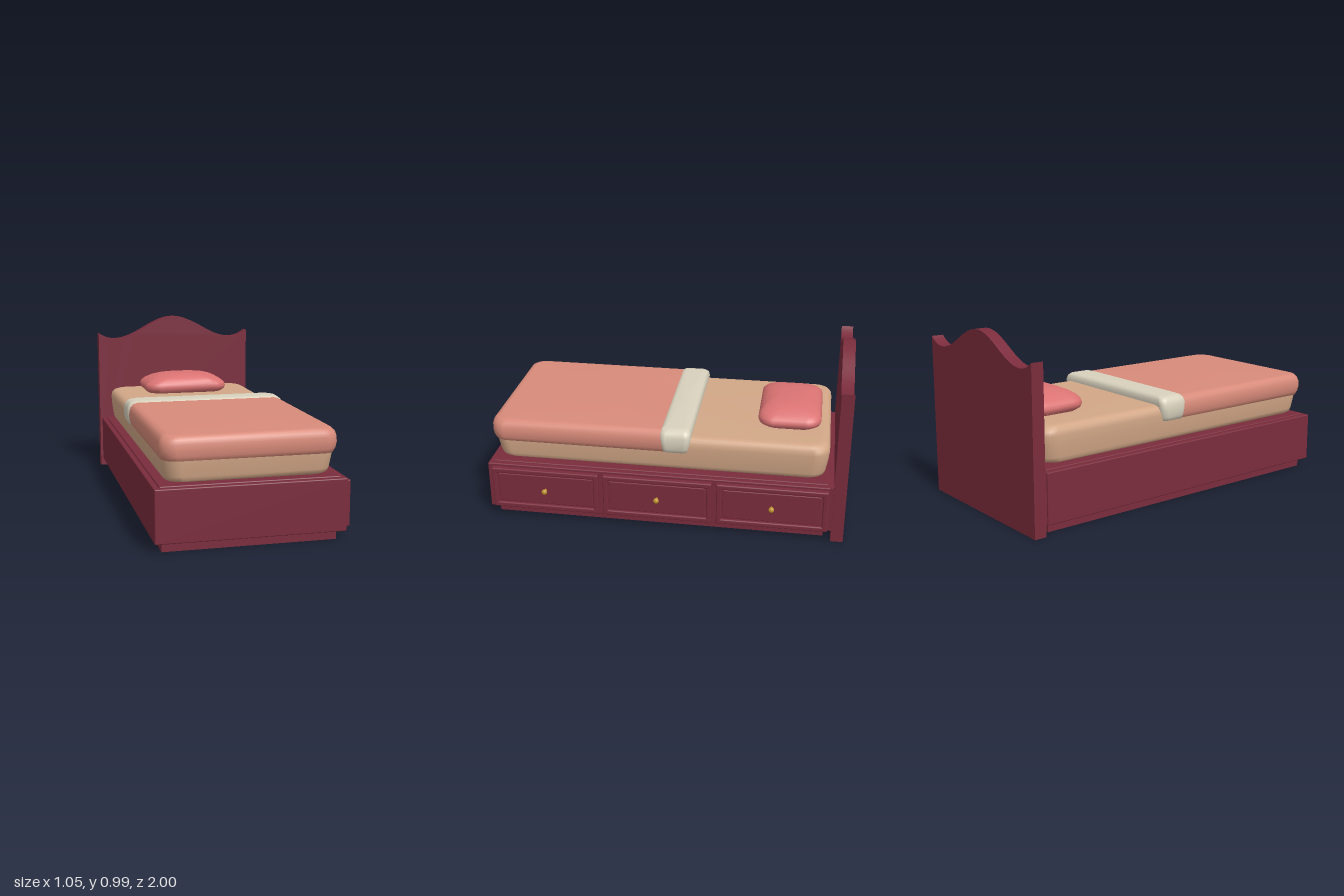
import * as THREE from 'three';
import { RoundedBoxGeometry } from 'three/addons/geometries/RoundedBoxGeometry.js';

const mat = (name, color) => {
  const m = new THREE.MeshStandardMaterial({ color });
  m.name = name;
  return m;
};

// Soft rounded slab: rounded-rectangle rings stacked by a profile of [insetX, insetZ, y]
function cushion([x0, x1], [z0, z1], radius, profile) {
  const cx = (x0 + x1) / 2, cz = (z0 + z1) / 2, seg = 7, n = 4 * (seg + 1);
  const pos = [], idx = [];
  for (const [ix, iz, y] of profile) {
    const hx = (x1 - x0) / 2 - ix, hz = (z1 - z0) / 2 - iz;
    const r = Math.min(radius, hx, hz);
    for (let q = 0; q < 4; q++) {
      const sx = q === 0 || q === 3 ? 1 : -1, sz = q < 2 ? 1 : -1;
      for (let k = 0; k <= seg; k++) {
        const a = (q + k / seg) * Math.PI / 2;
        pos.push(cx + sx * (hx - r) + r * Math.cos(a), y, cz + sz * (hz - r) + r * Math.sin(a));
      }
    }
  }
  const rows = profile.length, bottom = rows * n, top = bottom + 1;
  pos.push(cx, profile[0][2], cz, cx, profile[rows - 1][2], cz);
  for (let j = 0; j < n; j++) {
    const k = (j + 1) % n;
    for (let i = 0; i < rows - 1; i++) {
      const a = i * n + j, b = i * n + k, c = a + n, d = b + n;
      idx.push(a, c, b, b, c, d);
    }
    idx.push(bottom, j, k, top, (rows - 1) * n + k, (rows - 1) * n + j);
  }
  const g = new THREE.BufferGeometry();
  g.setAttribute('position', new THREE.Float32BufferAttribute(pos, 3));
  g.setIndex(idx);
  g.computeVertexNormals();
  return g;
}

export function createModel() {
  const bed = new THREE.Group();
  bed.name = 'bed';
  const wood = mat('burgundy wood', 0x7a2c3c);
  const sheet = mat('tan mattress', 0xd2a787);
  const cover = mat('salmon blanket', 0xd88b7a);
  const linen = mat('cream linen', 0xd8d1bd);
  const rose = mat('rose pillow', 0xdb7373);
  const brass = mat('brass', 0xbd8f2c);

  const add = (name, geometry, material, parent = bed) => {
    const m = new THREE.Mesh(geometry, material);
    m.name = name;
    parent.add(m);
    return m;
  };
  // Box given by its extents, with optional softened edges
  const box = (name, [x0, x1], [y0, y1], [z0, z1], r = 0, parent = bed) => {
    const s = [x1 - x0, y1 - y0, z1 - z0];
    const g = r ? new RoundedBoxGeometry(...s, 2, r) : new THREE.BoxGeometry(...s);
    add(name, g, wood, parent).position.set((x0 + x1) / 2, (y0 + y1) / 2, (z0 + z1) / 2);
  };

  // Bed base
  box('plinth', [-0.478, 0.425], [0, 0.06], [-0.89, 0.96]);
  box('base', [-0.518, 0.467], [0.05, 0.326], [-0.912, 1], 0.006);
  box('mattressDeck', [-0.49, 0.44], [0.3, 0.334], [-0.9, 0.975], 0.006);
  box('headboardJoint', [-0.508, 0.457], [0.055, 0.32], [-0.935, -0.9]);

  // Headboard with a wavy top edge
  const mid = -0.027, half = 0.502, dip = 0.395;
  const outline = new THREE.Shape();
  outline.moveTo(mid - half, 0);
  outline.lineTo(mid + half, 0);
  for (let i = 0; i <= 64; i++) {
    const x = half * (1 - i / 32), d = Math.abs(x);
    const y = d < dip
      ? 0.9165 + 0.0705 * Math.cos(Math.PI * d / dip)
      : 0.846 + 0.042 * ((d - dip) / (half - dip)) ** 2;
    outline.lineTo(mid + x, y);
  }
  outline.closePath();
  const board = new THREE.ExtrudeGeometry(outline, { depth: 0.068, bevelEnabled: false });
  add('headboard', board, wood).position.z = -1;

  // Three framed drawers with knobs on the left side
  for (const z of [-0.603, 0.032, 0.667]) {
    const drawer = new THREE.Group();
    drawer.name = 'drawer';
    bed.add(drawer);
    const a = z - 0.304, b = z + 0.304, t = 0.028;
    box('drawerFront', [0.46, 0.48], [0.065, 0.31], [a, b], 0, drawer);
    box('drawerPanel', [0.47, 0.486], [0.1, 0.275], [a + 0.036, b - 0.036], 0.004, drawer);
    for (const y of [0.065, 0.31 - t]) box('drawerRail', [0.465, 0.495], [y, y + t], [a, b], 0.007, drawer);
    for (const s of [a, b - t]) box('drawerStile', [0.465, 0.495], [0.065, 0.31], [s, s + t], 0.007, drawer);
    const stem = add('knobStem', new THREE.CylinderGeometry(0.006, 0.008, 0.03, 12), brass, drawer);
    stem.rotation.z = -Math.PI / 2;
    stem.position.set(0.497, 0.19, z);
    const knob = add('knob', new THREE.SphereGeometry(0.016, 16, 12), brass, drawer);
    knob.scale.x = 0.9;
    knob.position.set(0.511, 0.19, z);
  }

  // Mattress
  add('mattress', cushion([-0.468, 0.418], [-0.898, 0.972], 0.085, [
    [0.05, 0.06, 0.337], [0.03, 0.036, 0.34], [0.018, 0.022, 0.35], [0.012, 0.016, 0.37],
    [0.004, 0.006, 0.43], [0, 0, 0.485], [0.004, 0.003, 0.51], [0.016, 0.014, 0.528],
    [0.034, 0.032, 0.536], [0.06, 0.06, 0.539]]), sheet);

  // Blanket and its folded-back edge
  add('blanket', cushion([-0.482, 0.432], [-0.1, 0.985], 0.075, [
    [0.03, 0.028, 0.449], [0.014, 0.012, 0.453], [0.005, 0.004, 0.475], [0, 0, 0.505],
    [0.002, 0.001, 0.535], [0.01, 0.007, 0.558], [0.024, 0.02, 0.573], [0.05, 0.045, 0.58]]), cover);
  add('blanketFold', cushion([-0.492, 0.44], [-0.145, 0.03], 0.035, [
    [0.03, 0.026, 0.449], [0.014, 0.014, 0.453], [0.004, 0.008, 0.475], [0, 0.003, 0.51],
    [0.002, 0, 0.545], [0.012, 0.004, 0.568], [0.028, 0.014, 0.581], [0.06, 0.032, 0.588]]), linen);

  // Pillow
  add('pillow', cushion([-0.287, 0.235], [-0.843, -0.492], 0.085, [
    [0.06, 0.06, 0.53], [0.025, 0.025, 0.538], [0.006, 0.006, 0.555], [0, 0, 0.575],
    [0.008, 0.003, 0.595], [0.03, 0.014, 0.613], [0.065, 0.035, 0.63],
    [0.105, 0.065, 0.643], [0.15, 0.1, 0.65], [0.2, 0.14, 0.652]]), rose);

  return bed;
}
